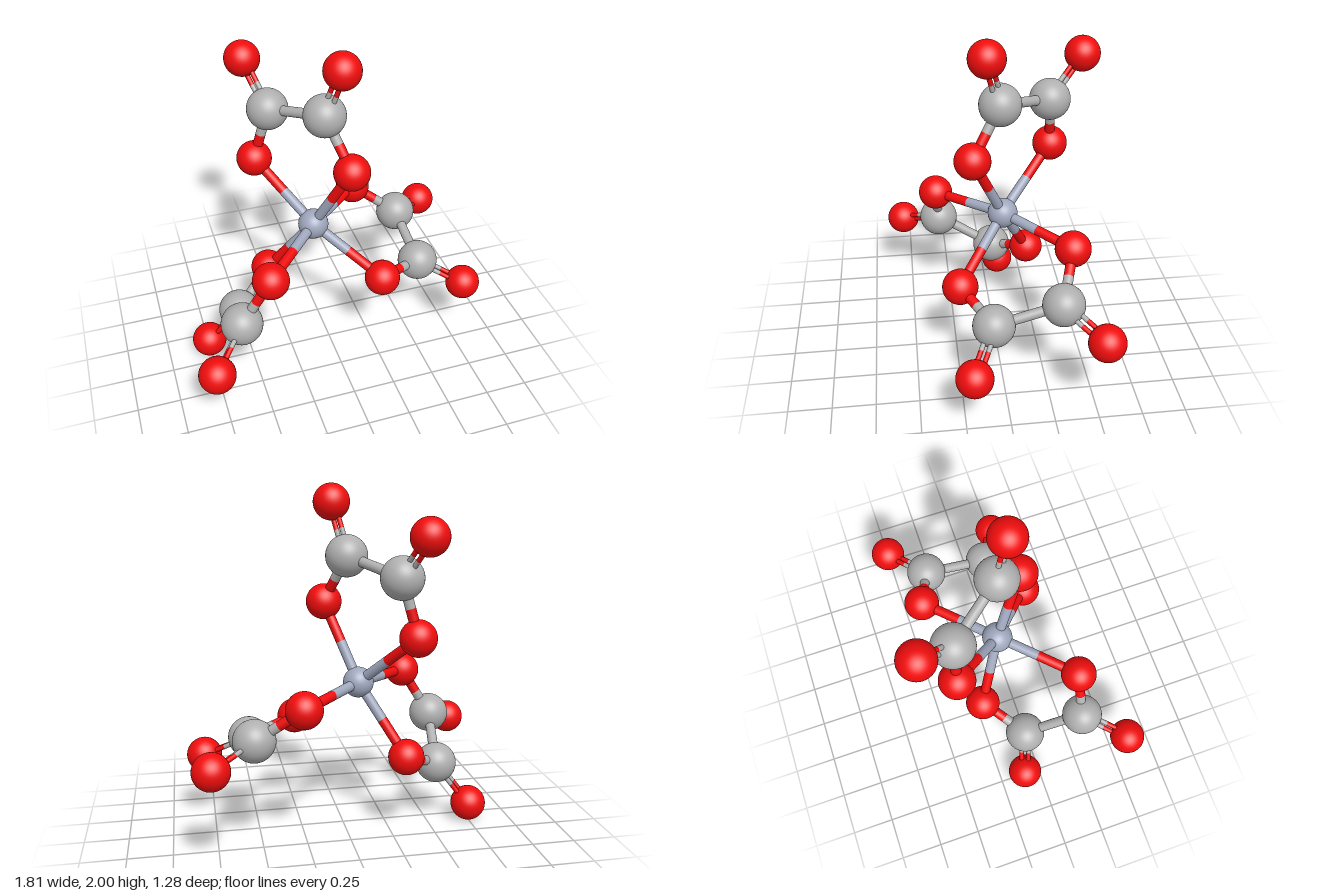
import * as THREE from 'three';

const material = (color) => new THREE.MeshStandardMaterial({ color, roughness: 0.6 });
const V = (a) => new THREE.Vector3(...a);

export function createModel() {
  const model = new THREE.Group();
  const elements = {
    metal: { radius: 0.088, mat: material(0xa0a8be) },
    carbon: { radius: 0.119, mat: material(0xb0b0b0) },
    oxygen: { radius: 0.103, mat: material(0xf00d0d) },
  };
  for (const e of Object.values(elements)) e.geo = new THREE.SphereGeometry(e.radius, 40, 28);

  function atom(parent, kind, pos, name) {
    const mesh = new THREE.Mesh(elements[kind].geo, elements[kind].mat);
    mesh.position.copy(pos);
    mesh.name = name;
    parent.add(mesh);
  }

  // Straight rod from a to b
  function rod(parent, a, b, radius, mat, name) {
    const dir = b.clone().sub(a);
    const mesh = new THREE.Mesh(new THREE.CylinderGeometry(radius, radius, dir.length(), 20), mat);
    mesh.position.copy(a).add(b).multiplyScalar(0.5);
    mesh.quaternion.setFromUnitVectors(new THREE.Vector3(0, 1, 0), dir.normalize());
    mesh.name = name;
    parent.add(mesh);
  }

  // Bond whose halves take the colours of the atoms they touch
  function bond(parent, a, kindA, b, kindB, name, radius = 0.029, shift = new THREE.Vector3()) {
    const p = a.clone().add(shift), q = b.clone().add(shift);
    const mid = p.clone().lerp(q, 0.5);
    rod(parent, p, mid, radius, elements[kindA].mat, name);
    rod(parent, mid, q, radius, elements[kindB].mat, name);
  }

  // Central metal atom
  const centre = V([-0.08, 0.885, -0.05]);
  atom(model, 'metal', centre, 'metalAtom');

  // Each ligand has two halves: inner oxygen, carbon, outer oxygen
  const ligands = {
    topLigand: [
      [[0.087, 1.326, 0.138], [-0.016, 1.606, -0.026], [0.055, 1.897, 0.053]],
      [[-0.341, 1.198, -0.365], [-0.254, 1.521, -0.341], [-0.341, 1.754, -0.537]],
    ],
    rightLigand: [
      [[-0.435, 0.847, 0.326], [-0.608, 0.563, 0.307], [-0.804, 0.452, 0.538]],
      [[-0.323, 0.479, -0.23], [-0.56, 0.357, -0.034], [-0.749, 0.108, -0.095]],
    ],
    leftLigand: [
      [[0.283, 0.844, -0.402], [0.543, 0.659, -0.309], [0.783, 0.574, -0.5]],
      [[0.254, 0.616, 0.233], [0.545, 0.553, 0.074], [0.8, 0.415, 0.205]],
    ],
  };

  for (const [name, halves] of Object.entries(ligands)) {
    const group = new THREE.Group();
    group.name = name;
    model.add(group);
    const points = halves.map((half) => half.map(V));
    const [c1, c2] = points.map((p) => p[1]);
    bond(group, c1, 'carbon', c2, 'carbon', 'carbonBond');

    for (const [inner, carbon, outer] of points) {
      atom(group, 'oxygen', inner, 'innerOxygen');
      atom(group, 'carbon', carbon, 'carbonAtom');
      atom(group, 'oxygen', outer, 'outerOxygen');
      bond(group, centre, 'metal', inner, 'oxygen', 'metalBond');
      bond(group, inner, 'oxygen', carbon, 'carbon', 'singleBond');

      // Double bond: two thin rods side by side in the ligand's plane
      const dir = outer.clone().sub(carbon).normalize();
      const normal = c2.clone().sub(c1).cross(dir);
      const side = normal.cross(dir).normalize();
      for (const s of [-0.021, 0.021]) {
        bond(group, carbon, 'carbon', outer, 'oxygen', 'doubleBond', 0.014, side.clone().multiplyScalar(s));
      }
    }
  }
  return model;
}
